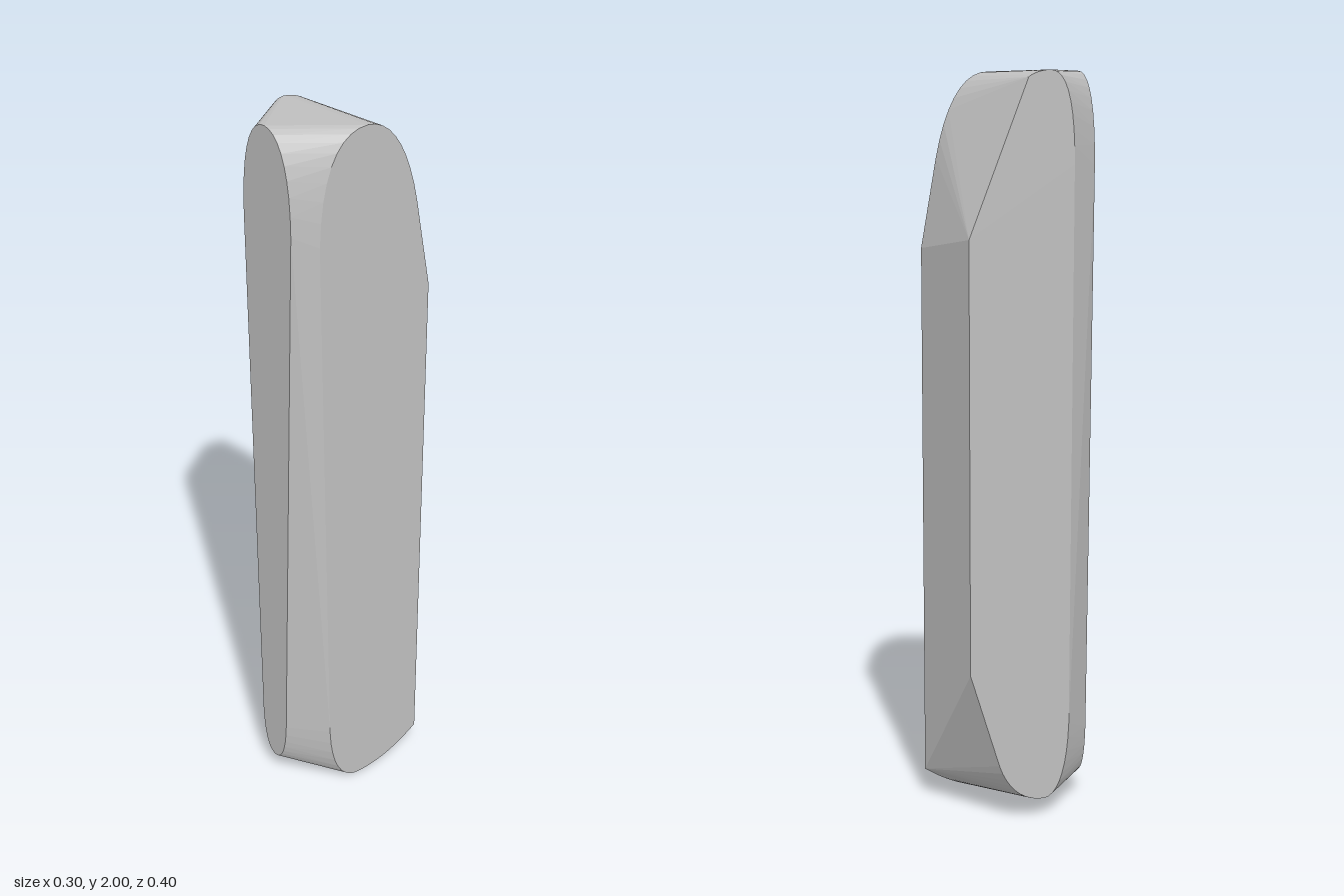
import * as THREE from 'three';
import { ConvexGeometry } from 'three/addons/geometries/ConvexGeometry.js';

// Outline from segments: 2 numbers make a line, 6 numbers make a bezier curve
function outline(start, segments) {
  const path = new THREE.Path().moveTo(...start);
  for (const s of segments) {
    if (s.length === 2) path.lineTo(...s);
    else path.bezierCurveTo(...s);
  }
  return path.getPoints(9);
}

export function createModel() {
  const group = new THREE.Group();
  const grey = new THREE.MeshStandardMaterial({ color: 0xc0c0c0, flatShading: true });
  grey.name = 'plain grey';

  // Left face outline (z, y)
  const left = outline([-0.2, 0.075], [
    [-0.2, 1.53],
    [-0.155, 1.77],
    [-0.125, 1.92, -0.07, 2, 0, 2],
    [0.08, 2, 0.135, 1.92, 0.14, 1.72],
    [0.11, 0.2],
    [0.105, 0.06, 0.06, 0, 0.01, 0],
    [-0.06, 0, -0.12, 0.02, -0.2, 0.075],
  ]);

  // Right face outline (z, y)
  const right = outline([-0.2, 0.42], [
    [-0.2, 1.56],
    [-0.03, 1.97],
    [-0.01, 1.985, 0.02, 1.99, 0.035, 1.99],
    [0.085, 1.99, 0.105, 1.9, 0.105, 1.75],
    [0.095, 0.25],
    [0.09, 0.12, 0.06, 0.05, 0.02, 0.05],
    [-0.04, 0.05, -0.09, 0.09, -0.115, 0.16],
  ]);

  // Narrow front face outline (x, y)
  const front = outline([-0.055, 0.2], [
    [-0.087, 1.75],
    [-0.088, 1.92, -0.05, 2, 0.01, 2],
    [0.07, 2, 0.115, 1.92, 0.115, 1.75],
    [0.06, 0.2],
    [0.055, 0.1, 0.03, 0.06, 0, 0.06],
    [-0.03, 0.06, -0.05, 0.1, -0.055, 0.2],
  ]);

  // Body: the solid stretched between the three flat faces
  const points = [
    ...left.map(p => new THREE.Vector3(0.15, p.y, p.x)),
    ...right.map(p => new THREE.Vector3(-0.15, p.y, p.x)),
    ...front.map(p => new THREE.Vector3(p.x, p.y, 0.2)),
  ];
  const body = new THREE.Mesh(new ConvexGeometry(points), grey);
  body.name = 'body';
  group.add(body);
  return group;
}
